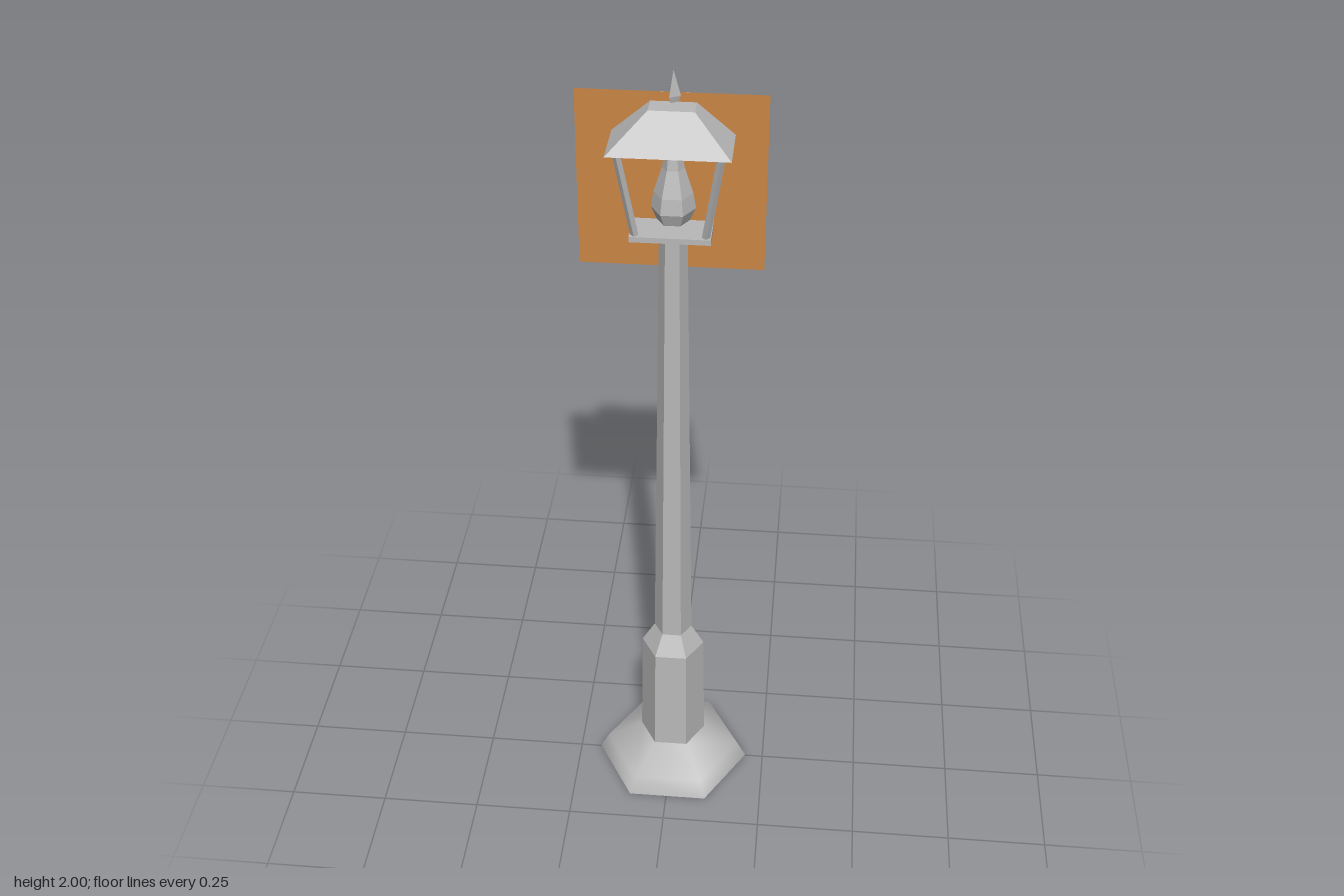
import * as THREE from 'three';

const grey = new THREE.MeshStandardMaterial({ color: 0xb8b8b8, side: THREE.DoubleSide });
grey.name = 'grey metal';
const amber = new THREE.MeshStandardMaterial({ color: 0xc98545, side: THREE.DoubleSide });
amber.name = 'amber glow';

// Separate the faces so each one is shaded flat
function flat(geometry) {
  const g = geometry.toNonIndexed();
  g.computeVertexNormals();
  return g;
}

// Turned part with few sides, a corner pointing to +x; profile is [radius, y] from bottom to top
function turned(profile, sides) {
  const points = profile.map(([r, y]) => new THREE.Vector2(r, y));
  return new THREE.LatheGeometry(points, sides, Math.PI / 2);
}

// Square block that may taper, given half widths and heights
function squareBlock(bottomHalf, topHalf, y0, y1) {
  const g = new THREE.CylinderGeometry(topHalf * Math.SQRT2, bottomHalf * Math.SQRT2, y1 - y0, 4, 1, false, Math.PI / 4);
  g.translate(0, (y0 + y1) / 2, 0);
  return flat(g);
}

export function createModel() {
  const model = new THREE.Group();
  model.name = 'streetLamp';
  const lamp = new THREE.Group();
  lamp.name = 'lampPost';
  lamp.position.set(0.003, 0, -0.002);
  model.add(lamp);

  const add = (name, geometry, material = grey, parent = lamp) => {
    const mesh = new THREE.Mesh(geometry, material);
    mesh.name = name;
    parent.add(mesh);
    return mesh;
  };

  // Hollow, softly shaded foot
  add('base', turned([[0.2, 0], [0.176, 0.045], [0.08, 0.103]], 6));

  // Six-sided column with a thick lower sleeve
  add('column', flat(turned([
    [0, 0.1], [0.085, 0.1], [0.08, 0.405], [0.048, 0.46], [0.032, 1.637], [0, 1.637],
  ], 6)));

  // Lantern floor and roof
  add('lanternFloor', squareBlock(0.09, 0.09, 1.635, 1.648));
  add('roof', squareBlock(0.134, 0.05, 1.857, 1.928));

  // Four leaning corner posts
  const up = new THREE.Vector3(0, 1, 0);
  for (const sx of [-1, 1]) {
    for (const sz of [-1, 1]) {
      const foot = new THREE.Vector3(sx * 0.078, 1.645, sz * 0.078);
      const head = new THREE.Vector3(sx * 0.112, 1.86, sz * 0.112);
      const span = head.clone().sub(foot);
      const post = add('cornerPost', flat(new THREE.CylinderGeometry(0.009, 0.009, span.length(), 4)));
      post.position.copy(foot).add(head).multiplyScalar(0.5);
      post.quaternion.setFromUnitVectors(up, span.normalize());
    }
  }

  // Bulb
  add('bulb', flat(turned([
    [0, 1.646], [0.036, 1.646], [0.05, 1.678], [0.044, 1.715],
    [0.025, 1.775], [0.016, 1.832], [0, 1.835],
  ], 6)));

  // Three-sided spike
  add('finial', flat(turned([[0.01, 1.927], [0.016, 1.942], [0, 2]], 3)));

  // Upright glow panel through the lantern
  const panel = add('glowPanel', new THREE.PlaneGeometry(0.418, 0.42), amber, model);
  panel.position.set(-0.001, 1.74, -0.002);

  return model;
}
